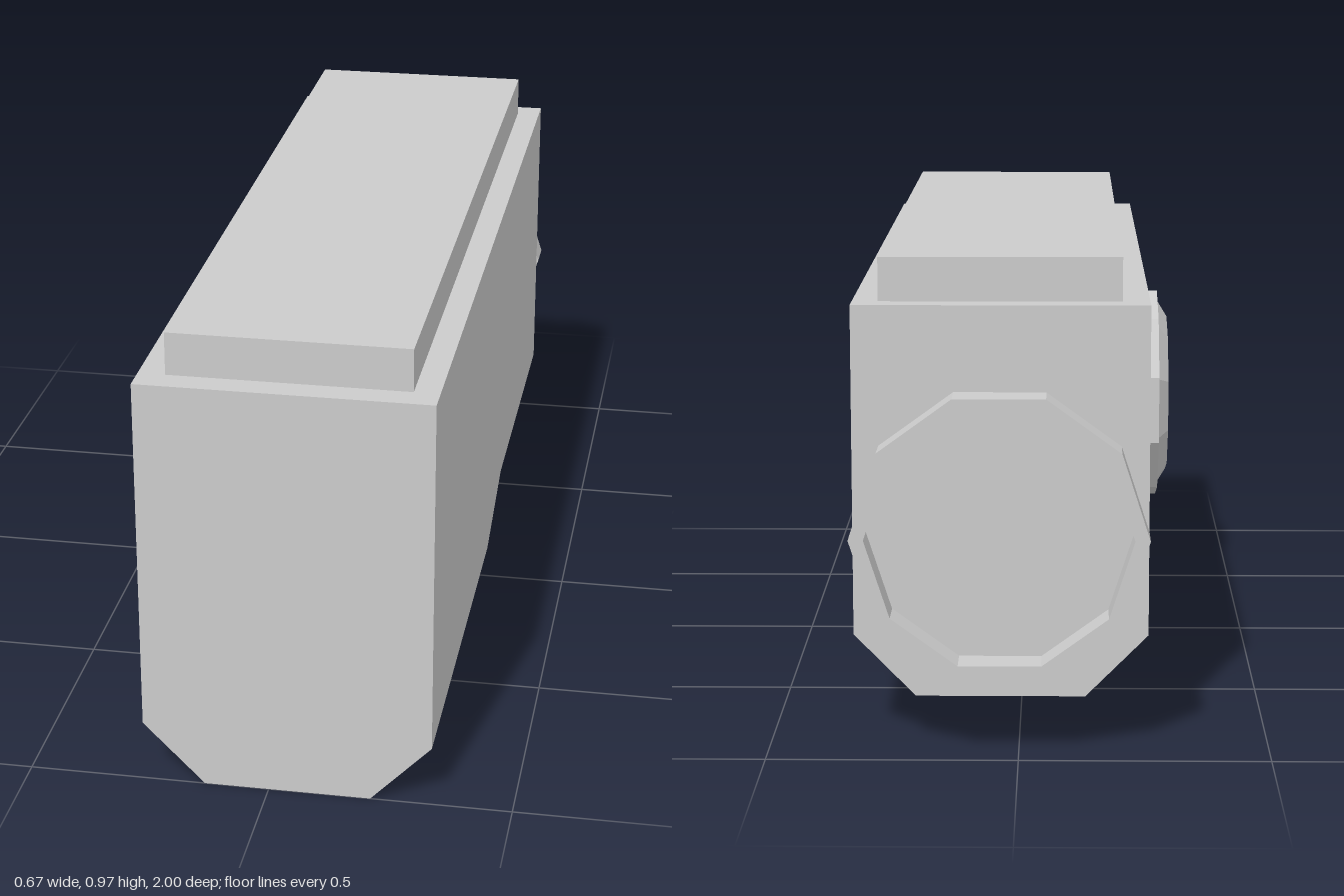
import * as THREE from 'three';

const material = new THREE.MeshStandardMaterial({ color: 0xcccccc, flatShading: true });

function addMesh(group, name, geometry) {
  const flat = geometry.index ? geometry.toNonIndexed() : geometry;
  flat.computeVertexNormals();
  const mesh = new THREE.Mesh(flat, material);
  mesh.name = name;
  group.add(mesh);
  return mesh;
}

// Ten-sided turned part; the profile is [radius, height] from base to tip.
function turned(profile) {
  const points = profile.map(([r, h]) => new THREE.Vector2(r, h));
  return new THREE.LatheGeometry(points, 10, Math.PI / 2);
}

// Six-sided housing lofted along z, with a chamfered underside that steps up at the back.
function housingGeometry() {
  const left = -0.26, right = 0.335, top = 0.884;
  // [z of wall corners, z of floor corners, floor height, chamfer height]
  const stations = [
    [1, 1, 0, 0.13],
    [0.11, 0.1, 0, 0.13],
    [-0.13, -0.14, 0.085, 0.213],
    [-0.843, -0.843, 0.085, 0.213],
  ];
  const positions = [];
  for (const [zWall, zFloor, yFloor, yWall] of stations) {
    // Counter-clockwise as seen from the front
    positions.push(
      left, top, zWall, left, yWall, zWall, -0.133, yFloor, zFloor,
      0.21, yFloor, zFloor, right, yWall, zWall, right, top, zWall
    );
  }
  const index = [];
  const n = 6, last = (stations.length - 1) * n;
  for (let s = 0; s < stations.length - 1; s++) {
    for (let i = 0; i < n; i++) {
      const a = s * n + i, b = s * n + (i + 1) % n;
      index.push(a, a + n, b, b, a + n, b + n);
    }
  }
  for (let i = 1; i < n - 1; i++) {
    index.push(0, i, i + 1);
    index.push(last, last + i + 1, last + i);
  }
  const geometry = new THREE.BufferGeometry();
  geometry.setAttribute('position', new THREE.Float32BufferAttribute(positions, 3));
  geometry.setIndex(index);
  return geometry;
}

export function createModel() {
  const group = new THREE.Group();

  addMesh(group, 'housing', housingGeometry());

  // Raised lid plate
  const lid = addMesh(group, 'lid', new THREE.BoxGeometry(0.488, 0.09, 1.735));
  lid.position.set(0.039, 0.928, 0.0775);

  // Rear neck with a wider, hollowed flange
  const flange = addMesh(group, 'rearFlange', turned([
    [0.239, -0.01], [0.239, 0.08], [0.295, 0.08], [0.295, 0.157],
    [0.265, 0.157], [0.265, 0.08], [0, 0.08],
  ]).rotateX(-Math.PI / 2));
  flange.position.set(0.037, 0.444, -0.843);

  // Side cap with a bevelled raised face
  const cap = addMesh(group, 'sideCap', turned([
    [0.254, -0.01], [0.254, 0.054], [0.23, 0.054], [0.19, 0.078], [0, 0.078],
  ]).rotateZ(Math.PI / 2));
  cap.position.set(-0.26, 0.479, 0.437);

  return group;
}
